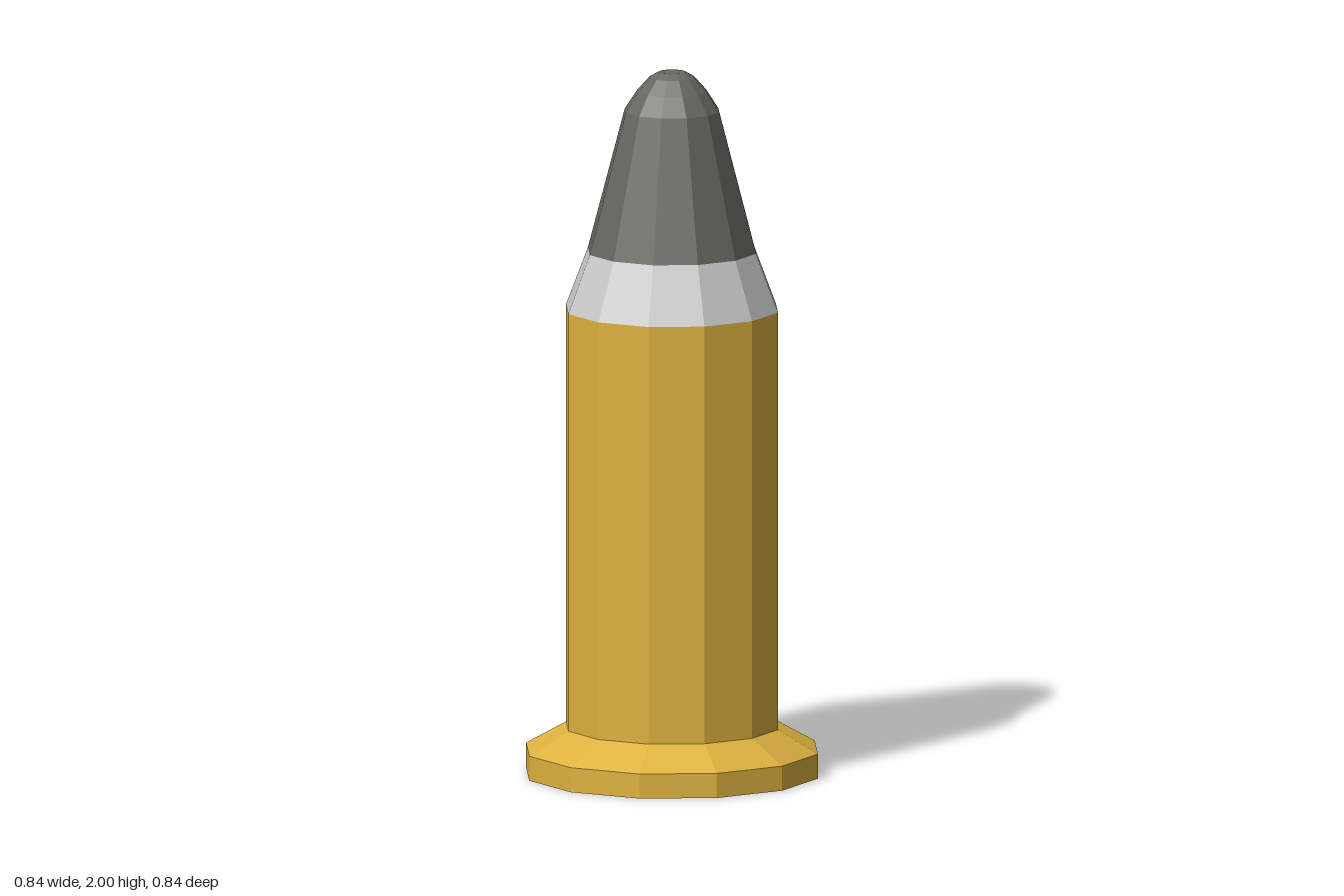
import * as THREE from 'three';

const SIDES = 12;

// Faceted solid of revolution from a bottom-to-top [radius, height] profile
function turned(name, color, profile) {
  const points = profile.map(([r, y]) => new THREE.Vector2(r, y));
  const geometry = new THREE.LatheGeometry(points, SIDES).toNonIndexed();
  geometry.computeVertexNormals();
  const material = new THREE.MeshStandardMaterial({ color, flatShading: true });
  const mesh = new THREE.Mesh(geometry, material);
  mesh.name = name;
  return mesh;
}

export function createModel() {
  const group = new THREE.Group();
  group.name = 'cartridge';
  const brass = 0xdeb23e;

  // Closed base disc with a sloped shoulder
  group.add(turned('baseRim', brass, [[0, 0], [0.42, 0], [0.42, 0.07], [0.305, 0.135]]));
  // Straight casing wall
  group.add(turned('casing', brass, [[0.305, 0.135], [0.305, 1.325]]));
  // Tapered collar
  group.add(turned('collar', 0xcccccc, [[0.305, 1.325], [0.242, 1.49]]));
  // Rounded tip with a small flat end
  group.add(turned('tip', 0x666860, [
    [0.242, 1.49], [0.136, 1.89], [0.1, 1.945], [0.064, 1.985], [0.038, 2], [0, 2],
  ]));
  return group;
}
